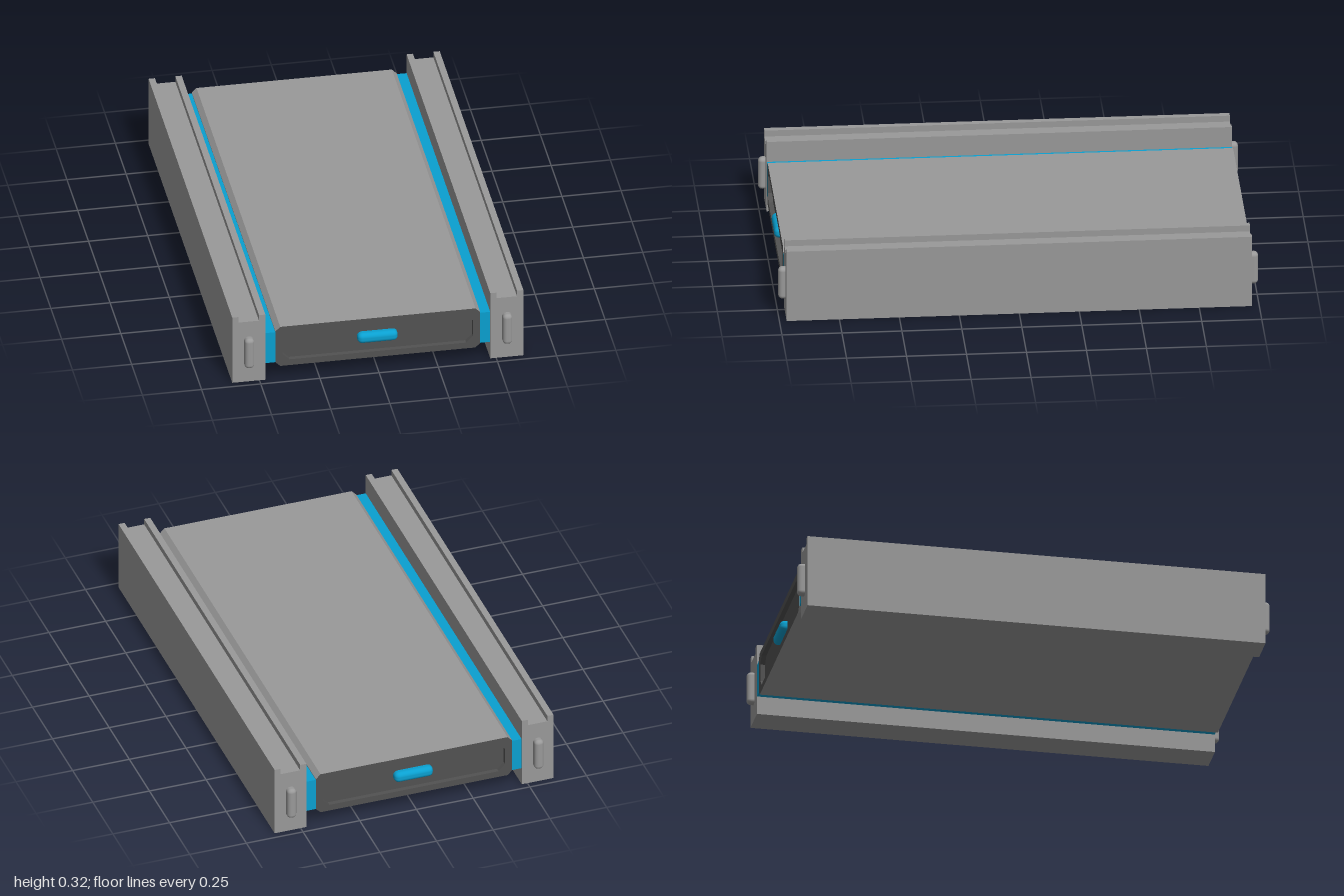
import * as THREE from 'three';
import { RoundedBoxGeometry } from 'three/addons/geometries/RoundedBoxGeometry.js';

const HALF = 0.97; // half length of rails and slab
const RECESS = 0.02;
const MID_Y = 0.155;

// rectangle centred on (0, MID_Y) with cut corners
function cutRect(w, h, c, Type = THREE.Shape) {
  const x = w / 2, y = h / 2;
  const pts = [[x - c, -y], [x, c - y], [x, y - c], [x - c, y], [c - x, y], [-x, y - c], [-x, c - y], [c - x, -y]];
  return new Type(pts.map(([a, b]) => new THREE.Vector2(a, b + MID_Y)));
}

// extrude along z between two depths
function extrude(shape, z0, z1) {
  const g = new THREE.ExtrudeGeometry(shape, { depth: z1 - z0, bevelEnabled: false });
  return g.translate(0, 0, z0);
}

export function createModel() {
  const group = new THREE.Group();
  const gray = new THREE.MeshStandardMaterial({ color: 0x999999 });
  gray.name = 'gray metal';
  const dark = new THREE.MeshStandardMaterial({ color: 0x525252 });
  dark.name = 'dark panel';
  const blue = new THREE.MeshStandardMaterial({ color: 0x0aa0d0 });
  blue.name = 'blue accent';

  const add = (name, geometry, material, x = 0, y = 0, z = 0) => {
    const mesh = new THREE.Mesh(geometry, material);
    mesh.name = name;
    mesh.position.set(x, y, z);
    group.add(mesh);
    return mesh;
  };

  // central slab with dark ends
  add('slab', extrude(cutRect(0.865, 0.19, 0.02), -HALF + RECESS, HALF - RECESS), [dark, gray]);

  // raised rim, dark recess lining and handle at each end
  for (const [end, s] of [['front', 1], ['back', -1]]) {
    const z0 = s > 0 ? HALF - RECESS : -HALF;
    const rim = cutRect(0.865, 0.19, 0.02);
    rim.holes.push(cutRect(0.81, 0.14, 0.03, THREE.Path));
    add(end + 'Rim', extrude(rim, z0, z0 + RECESS), [dark, gray]);

    const lining = cutRect(0.81, 0.14, 0.03);
    lining.holes.push(cutRect(0.804, 0.134, 0.029, THREE.Path));
    add(end + 'RecessLining', extrude(lining, z0, z0 + RECESS), dark);

    add(end + 'Handle', new RoundedBoxGeometry(0.17, 0.048, 0.06, 4, 0.02), blue, 0, MID_Y, s * 0.95);
  }

  // grooved side rails, connecting strips and end pegs
  const railShape = new THREE.Shape([
    [-0.07, 0], [0.07, 0], [0.07, 0.317], [0.043, 0.317],
    [0.043, 0.29], [-0.043, 0.29], [-0.043, 0.317], [-0.07, 0.317],
  ].map(([x, y]) => new THREE.Vector2(x, y)));

  for (const [side, s] of [['left', 1], ['right', -1]]) {
    add(side + 'Rail', extrude(railShape, -HALF, HALF), gray, s * 0.545);
    add(side + 'Strip', new THREE.BoxGeometry(0.07, 0.146, 2 * HALF - 0.002), blue, s * 0.45, 0.153, 0);
    for (const [end, e] of [['Front', 1], ['Back', -1]]) {
      add(side + end + 'Peg', new RoundedBoxGeometry(0.04, 0.143, 0.08, 4, 0.017), gray, s * 0.545, 0.146, e * 0.96);
    }
  }
  return group;
}
